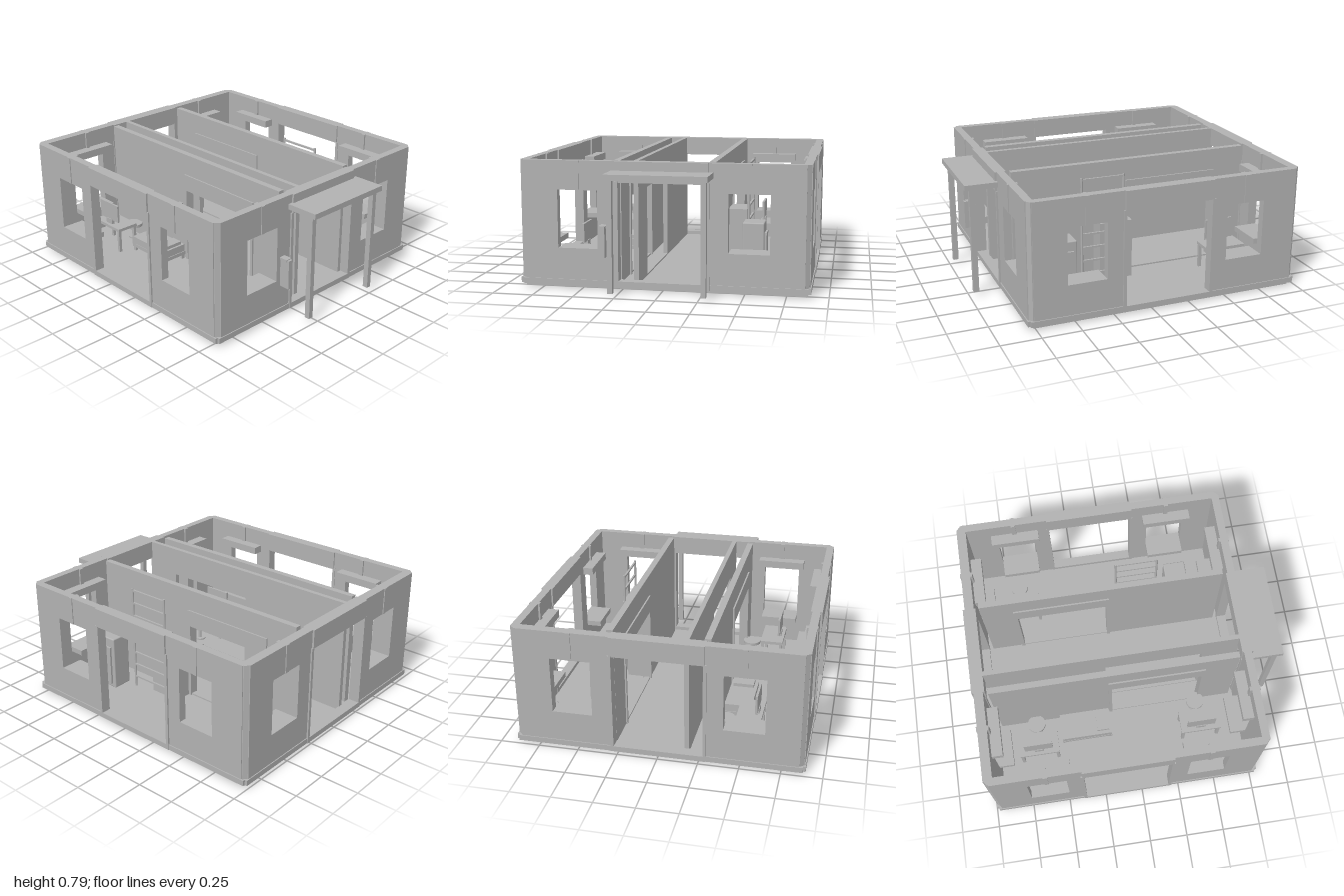
import * as THREE from 'three';
import { RoundedBoxGeometry } from 'three/addons/geometries/RoundedBoxGeometry.js';

const grey = new THREE.MeshStandardMaterial({ color: 0xb2b2b2 });
grey.name = 'plain grey';

export function createModel() {
  const model = new THREE.Group();
  model.name = 'openHouse';

  const add = (name, geometry, parent = model) => {
    const mesh = new THREE.Mesh(geometry, grey);
    mesh.name = name;
    parent.add(mesh);
    return mesh;
  };
  // box from its limits
  const box = (name, x0, x1, y0, y1, z0, z1, parent) => {
    const g = new THREE.BoxGeometry(x1 - x0, y1 - y0, z1 - z0);
    g.translate((x0 + x1) / 2, (y0 + y1) / 2, (z0 + z1) / 2);
    return add(name, g, parent);
  };
  // box on a wall: u runs along the wall, d through it
  const wallBox = (name, side, u0, u1, y0, y1, d0, d1) =>
    side ? box(name, d0, d1, y0, y1, u0, u1) : box(name, u0, u1, y0, y1, d0, d1);

  // wall slab with rectangular holes [u0, u1, y0, y1]
  const wall = (name, side, u0, u1, d0, d1, holes, y0 = 0.02, y1 = 0.79) => {
    const trace = (p, a, b, c, d) => {
      p.moveTo(a, c); p.lineTo(b, c); p.lineTo(b, d); p.lineTo(a, d); p.closePath();
      return p;
    };
    const shape = trace(new THREE.Shape(), u0, u1, y0, y1);
    holes.forEach(h => shape.holes.push(trace(new THREE.Path(), ...h)));
    const g = new THREE.ExtrudeGeometry(shape, { depth: d1 - d0, bevelEnabled: false });
    if (side) g.rotateY(-Math.PI / 2).translate(d1, 0, 0);
    else g.translate(0, 0, d0);
    return add(name, g);
  };

  // floor
  box('foundation', -0.96, 0.76, 0, 0.02, -0.87, 0.87);
  box('floor', -0.98, 0.78, 0.015, 0.03, -0.88, 0.88);

  // outer walls: inner and outer face, centres of the windows, door limits
  const sides = [
    { name: 'front', side: false, inn: 0.84, out: 0.89, u: [-0.96, 0.76], win: [-0.615, 0.425], door: [-0.38, 0.18] },
    { name: 'back', side: false, inn: -0.84, out: -0.89, u: [-0.96, 0.76], win: [-0.615, 0.425], door: [-0.38, 0.18] },
    { name: 'left', side: true, inn: 0.74, out: 0.79, u: [-0.86, 0.86], win: [-0.525, 0.525], door: [-0.27, 0.27] },
    { name: 'right', side: true, inn: -0.93, out: -0.99, u: [-0.86, 0.86], win: [-0.525, 0.525], door: [-0.27, 0.28] },
  ];
  for (const { name, side, inn, out, u, win, door } of sides) {
    const s = Math.sign(out);
    // limits through the wall, grown inwards by a and outwards by b
    const d = (a, b) => [inn - s * a, out + s * b].sort((p, q) => p - q);
    const holes = win.map(c => [c - 0.125, c + 0.125, 0.25, 0.61]);
    holes.push([door[0], door[1], 0.05, 0.66]);
    wall(name + 'Wall', side, u[0], u[1], ...d(0, 0), holes);

    // door surround
    const [a, b] = door;
    wallBox(name + 'DoorHeader', side, a - 0.01, b + 0.01, 0.67, 0.79, ...d(0.01, 0.012));
    wallBox(name + 'Threshold', side, a - 0.02, b + 0.02, 0.02, 0.055, ...d(0.003, 0.01));
    wallBox(name + 'DoorJamb', side, a - 0.02, a, 0.02, 0.67, ...d(0.005, 0.01));
    wallBox(name + 'DoorJamb', side, b, b + 0.02, 0.02, 0.67, ...d(0.005, 0.01));

    // skirting on both sides of the door
    wallBox(name + 'Skirting', side, u[0] - 0.02, a - 0.02, 0.02, 0.055, ...d(0, 0.006));
    wallBox(name + 'Skirting', side, b + 0.02, u[1] + 0.02, 0.02, 0.055, ...d(0, 0.006));

    for (const c of win) {
      // batten above the window
      wallBox(name + 'Batten', side, c - 0.014, c + 0.014, 0.612, 0.79, ...d(0.012, 0.006));
      // valance and sill inside the room
      const v = [inn, inn - s * 0.07].sort((p, q) => p - q);
      const t = [inn, inn - s * 0.1].sort((p, q) => p - q);
      wallBox(name + 'Valance', side, c - 0.16, c + 0.16, 0.63, 0.68, ...v);
      wallBox(name + 'Sill', side, c - 0.125, c + 0.125, 0.215, 0.25, ...t);
    }
  }

  // corner posts with cut corners
  for (const sx of [-1, 1]) for (const sz of [-1, 1]) {
    const xi = sx < 0 ? -0.93 : 0.74, xo = sx < 0 ? -0.985 : 0.785;
    const p = new THREE.Shape([
      new THREE.Vector2(xi, 0.84 * sz), new THREE.Vector2(xo, 0.84 * sz),
      new THREE.Vector2(xo, 0.86 * sz), new THREE.Vector2(xo - sx * 0.02, 0.885 * sz),
      new THREE.Vector2(xi, 0.885 * sz),
    ]);
    const g = new THREE.ExtrudeGeometry(p, { depth: 0.77, bevelEnabled: false });
    g.rotateX(Math.PI / 2).translate(0, 0.79, 0);
    add('cornerPost', g);
  }

  // inner partitions, each with a framed doorway
  for (const [z, a, b] of [[0.29, -0.14, 0.5], [-0.297, -0.69, -0.05]]) {
    wall('partition', false, -0.9, 0.71, z - 0.02, z + 0.02, [[a + 0.02, b - 0.02, 0.04, 0.54]], 0.03);
    box('doorwayLintel', a, b, 0.54, 0.65, z - 0.03, z + 0.03);
    box('doorwayJamb', a, a + 0.02, 0.03, 0.54, z - 0.03, z + 0.03);
    box('doorwayJamb', b - 0.02, b, 0.03, 0.54, z - 0.03, z + 0.03);
  }
  wall('hallWall', false, -0.93, 0.74, 0.155, 0.185, [[-0.14, 0.5, 0.04, 0.6]], 0.03);

  // porch canopy
  box('canopy', 0.79, 1, 0.70, 0.735, -0.31, 0.31);
  for (const z of [-0.28, 0.28]) box('canopyPost', 0.935, 0.97, 0.02, 0.70, z - 0.016, z + 0.016);

  // box beside the porch
  box('letterBox', 0.79, 0.86, 0.21, 0.40, 0.338, 0.37);
  box('letterBoxLid', 0.79, 0.845, 0.39, 0.405, 0.333, 0.375);

  // desks with screen and stool
  for (const [x, z, stoolZ, screenZ] of [[-0.655, 0.517, 0.36, 0.562], [0.455, 0.517, 0.36, 0.562], [-0.655, -0.525, -0.68, -0.478]]) {
    const desk = new THREE.Group();
    desk.name = 'desk';
    model.add(desk);
    box('deskTop', x - 0.135, x + 0.135, 0.185, 0.205, z - 0.078, z + 0.078, desk);
    for (const sx of [-1, 1]) for (const sz of [-1, 1])
      box('deskLeg', x + sx * 0.12 - 0.01, x + sx * 0.12 + 0.01, 0.03, 0.185, z + sz * 0.064 - 0.01, z + sz * 0.064 + 0.01, desk);
    box('screen', x - 0.095, x + 0.095, 0.235, 0.358, screenZ - 0.007, screenZ + 0.007, desk);
    box('screenFoot', x - 0.03, x + 0.03, 0.205, 0.24, screenZ - 0.012, screenZ + 0.012, desk);
    add('stoolSeat', new THREE.CylinderGeometry(0.06, 0.06, 0.02, 32).translate(x, 0.13, stoolZ), desk);
    add('stoolStem', new THREE.CylinderGeometry(0.012, 0.012, 0.09, 16).translate(x, 0.075, stoolZ), desk);
    add('stoolFoot', new THREE.CylinderGeometry(0.04, 0.04, 0.01, 32).translate(x, 0.035, stoolZ), desk);
  }

  // bed
  box('mattress', -0.49, -0.15, 0.085, 0.135, 0.322, 0.498);
  box('bedFrame', -0.495, -0.145, 0.06, 0.085, 0.32, 0.5);
  box('pillow', -0.245, -0.165, 0.135, 0.157, 0.34, 0.475);
  for (const x of [-0.48, -0.16]) for (const z of [0.335, 0.485])
    box('bedLeg', x - 0.01, x + 0.01, 0.03, 0.06, z - 0.01, z + 0.01);

  // ladder rack
  for (const x of [0.025, 0.305])
    add('rackPost', new THREE.CylinderGeometry(0.008, 0.008, 0.72, 12).translate(x, 0.39, -0.468));
  for (let i = 0; i < 8; i++) box('rackRail', 0.025, 0.305, 0.1 + i * 0.09, 0.112 + i * 0.09, -0.474, -0.462);

  // cupboard against the partition
  box('cupboard', -0.05, 0.17, 0.03, 0.42, -0.44, -0.318);

  // fridge with back grille
  add('fridge', new RoundedBoxGeometry(0.15, 0.365, 0.135, 3, 0.008).translate(0.455, 0.2125, -0.522));
  box('fridgeGrille', 0.405, 0.505, 0.06, 0.33, -0.603, -0.588);

  return model;
}
